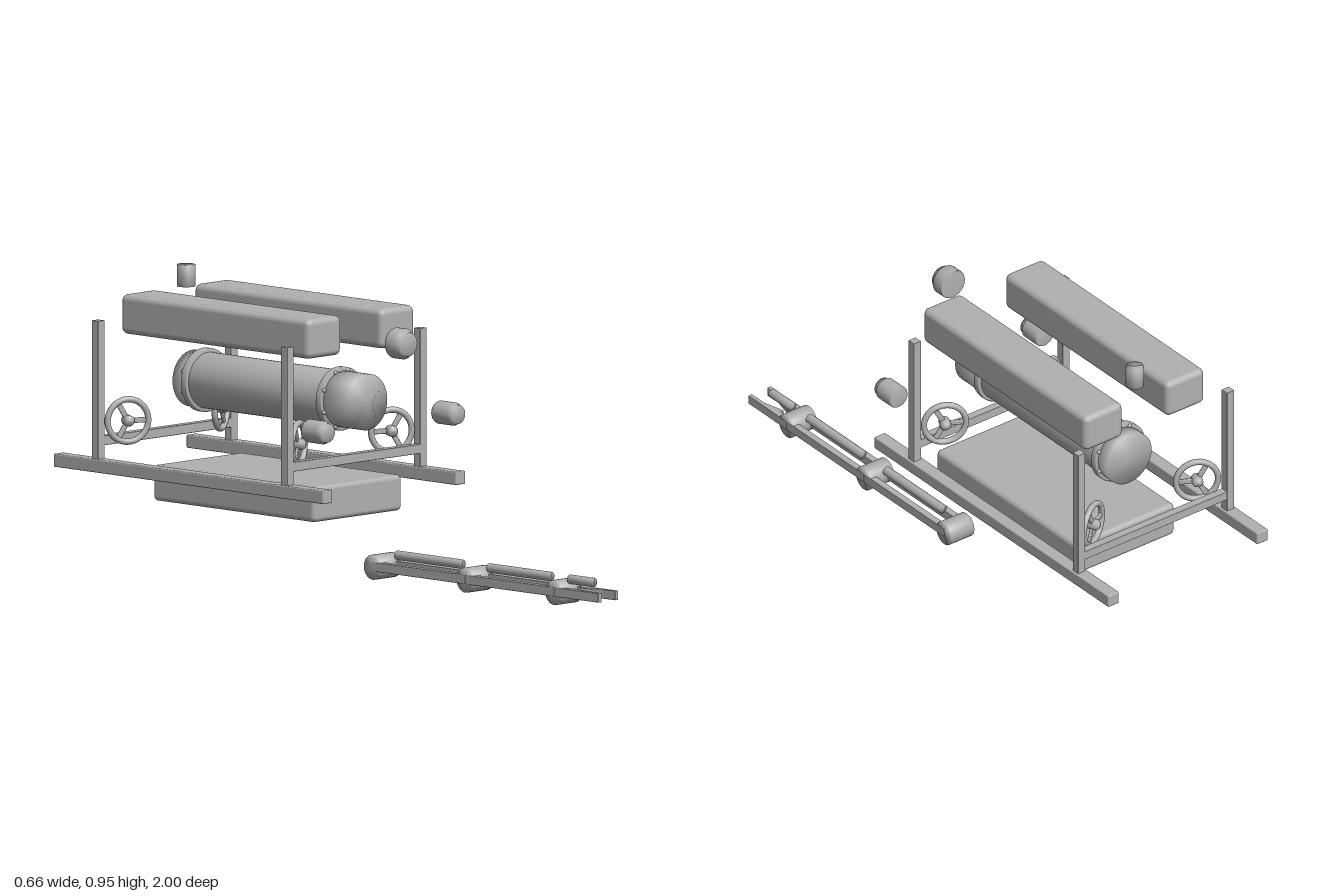
import * as THREE from 'three';
import { RoundedBoxGeometry } from 'three/addons/geometries/RoundedBoxGeometry.js';

const grey = new THREE.MeshStandardMaterial({ color: 0xb0b0b0 });
grey.name = 'plainGrey';

export function createModel() {
  const model = new THREE.Group();
  model.name = 'explodedSubmersible';

  const add = (name, geometry, x, y, z, parent = model) => {
    const mesh = new THREE.Mesh(geometry, grey);
    mesh.name = name;
    mesh.position.set(x, y, z);
    parent.add(mesh);
    return mesh;
  };
  // Box given by its size and centre, with a rounded edge
  const box = (name, size, pos, radius = 0.004, parent = model) =>
    add(name, new RoundedBoxGeometry(...size, 3, radius), ...pos, parent);
  // Turned part; profile is [radius, height] from bottom to top
  const turned = (name, profile, pos, axis = 'y', parent = model, sides = 32) => {
    const pts = profile.map(([r, h]) => new THREE.Vector2(r, h));
    const mesh = add(name, new THREE.LatheGeometry(pts, sides), ...pos, parent);
    if (axis === 'z') mesh.rotation.x = Math.PI / 2;
    if (axis === 'x') mesh.rotation.z = -Math.PI / 2;
    return mesh;
  };
  const rod = (r, a, b) => [[0, a], [r, a], [r, b], [0, b]];

  // Buoyancy blocks and lower payload box
  for (const s of [-1, 1]) {
    box('buoyancyBlock', [0.154, 0.127, 0.838], [s * 0.165, 0.809, -0.363], 0.02);
  }
  box('payloadBox', [0.4, 0.115, 0.72], [0, 0.275, -0.32], 0.016);

  // Frame: skids, posts and cross bars
  for (const s of [-1, 1]) {
    box('skid', [0.044, 0.042, 1.2], [s * 0.3, 0.327, -0.4]);
    for (const z of [0.02, -0.822]) {
      box('post', [0.029, 0.445, 0.029], [s * 0.3, 0.568, z], 0.002);
    }
  }
  for (const z of [0.02, -0.822]) {
    box('crossBar', [0.6, 0.03, 0.028], [0, 0.405, z], 0.002);
  }

  // Pressure hull with end caps, flanges and bolts
  const hullY = 0.588;
  turned('pressureHull', rod(0.09, -0.64, -0.04), [0, hullY, 0], 'z', model, 48);
  turned('frontCap', rod(0.09, -0.045, 0.08), [0, hullY, 0], 'z', model, 48);
  turned('rearCap', rod(0.09, -0.698, -0.635), [0, hullY, 0], 'z', model, 48);
  for (const z of [-0.04, -0.64]) {
    turned('flange', [[0.085, -0.013], [0.098, -0.013], [0.102, -0.009], [0.102, 0.009],
      [0.098, 0.013], [0.085, 0.013]], [0, hullY, z], 'z', model, 48);
    const out = z > -0.3 ? 1 : -1;
    for (let i = 0; i < 8; i++) {
      const a = (i + 0.5) * Math.PI / 4;
      add('flangeBolt', new THREE.SphereGeometry(0.007, 10, 8),
        0.094 * Math.cos(a), hullY + 0.094 * Math.sin(a), z + out * 0.013);
    }
  }

  // Thrusters: ring, hub and three spokes, toed in at each corner
  for (const s of [-1, 1]) {
    for (const front of [true, false]) {
      const t = new THREE.Group();
      t.name = front ? 'frontThruster' : 'rearThruster';
      t.position.set(s * 0.21, 0.465, front ? -0.02 : -0.778);
      t.rotation.y = front ? -s * 0.47 : Math.PI + s * 0.47;
      add('thrusterRing', new THREE.TorusGeometry(0.068, 0.01, 12, 40), 0, 0, 0, t);
      turned('thrusterHub', [[0, -0.026], [0.012, -0.023], [0.018, -0.014], [0.018, 0.014],
        [0.012, 0.023], [0, 0.026]], [0, 0, 0], 'z', t, 20);
      const start = (s < 0) === front ? 0 : Math.PI;
      for (let i = 0; i < 3; i++) {
        const a = start + i * Math.PI * 2 / 3;
        const spoke = box('thrusterSpoke', [0.056, 0.017, 0.009],
          [0.04 * Math.cos(a), 0.04 * Math.sin(a), 0], 0.003, t);
        spoke.rotation.set(0, 0, a);
      }
      model.add(t);
    }
  }

  // Side lamps, forward camera and rear beacon
  for (const s of [-1, 1]) {
    turned('sideLamp', [[0, 0.107], [0.033, 0.107], [0.037, 0.113], [0.037, 0.178],
      [0.031, 0.182], [0.03, 0.196], [0, 0.197]], [s * 0.294, 0.53, 0], 'z');
  }
  turned('camera', [[0, 0.204], [0.047, 0.204], [0.049, 0.208], [0.049, 0.246],
    [0.039, 0.25], [0.038, 0.265], [0, 0.266]], [0, 0.791, 0], 'z');
  turned('beacon', rod(0.029, -0.035, 0.035), [0, 0.914, -0.726]);

  // Manipulator arm: joints, paired rails and rams
  const arm = new THREE.Group();
  arm.name = 'manipulatorArm';
  arm.position.x = 0.155;
  model.add(arm);
  const joints = [-0.004, 0.408, 0.803];
  for (const z of joints) {
    turned('armJoint', rod(0.04, -0.045, 0.045), [0, 0.04, z], 'x', arm);
  }
  const stops = [...joints, 0.9];
  for (let i = 0; i < 3; i++) {
    const a = stops[i], b = stops[i + 1];
    for (const s of [-1, 1]) {
      box('armRail', [0.024, 0.03, b - a], [s * 0.034, 0.042, (a + b) / 2], 0.002, arm);
    }
  }
  for (const [a, b] of [[0.06, 0.35], [0.47, 0.745], [0.83, 0.935]]) {
    turned('armRam', rod(0.015, a, b), [0, 0.081, 0], 'z', arm, 20);
  }
  // Gripper fingers with angled claws
  for (const s of [-1, 1]) {
    box('gripperFinger', [0.015, 0.03, 0.12], [s * 0.038, 0.042, 0.94], 0.002, arm);
    const claw = box('gripperClaw', [0.014, 0.028, 0.09], [s * 0.028, 0.042, 0.905], 0.002, arm);
    claw.rotation.y = s * 0.25;
  }
  return model;
}
